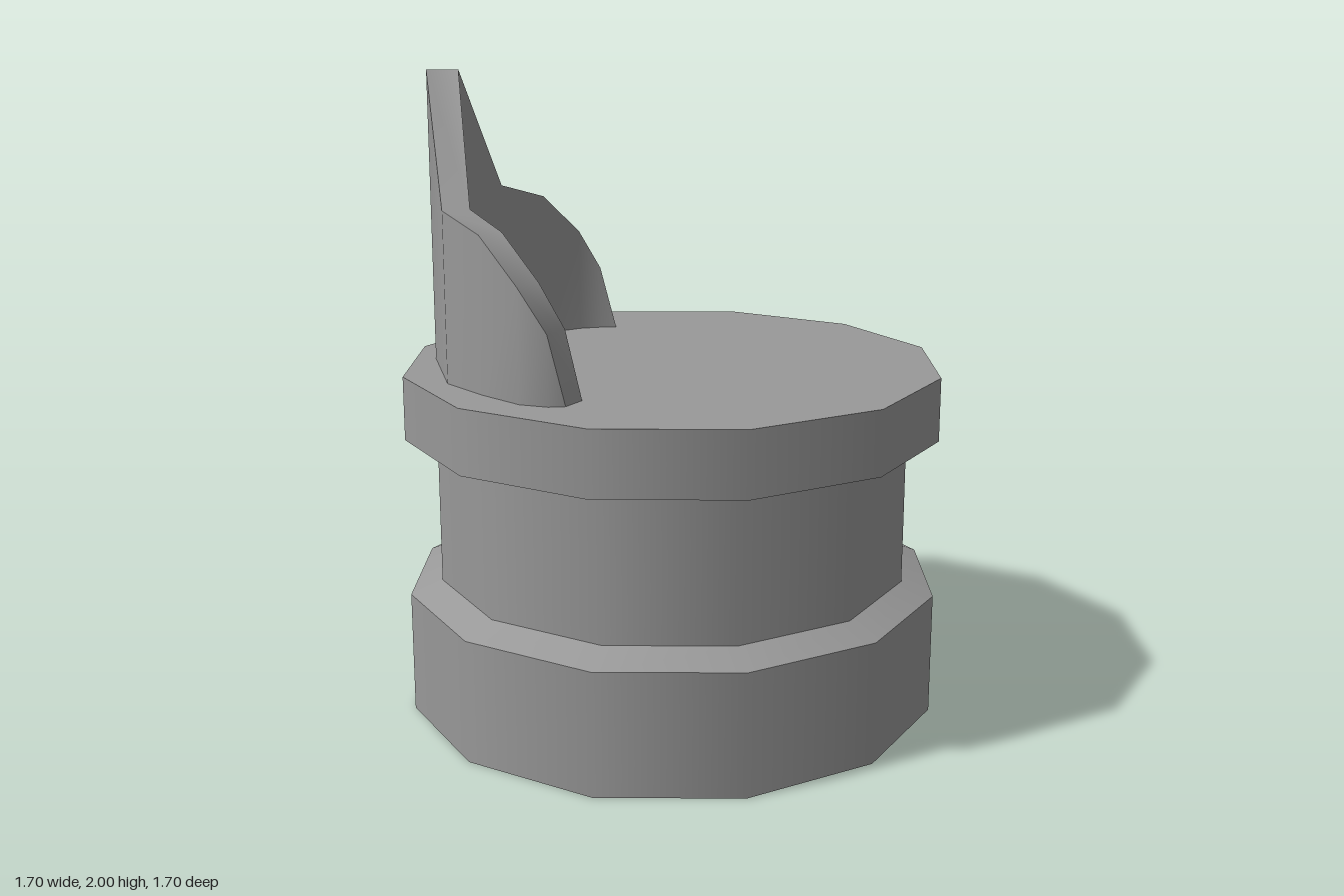
import * as THREE from 'three';
import { toCreasedNormals } from 'three/addons/utils/BufferGeometryUtils.js';

const SIDES = 12;
const BASE = 1.09; // height of the deck

export function createModel() {
  const group = new THREE.Group();
  const material = new THREE.MeshStandardMaterial({ color: 0x999999, side: THREE.DoubleSide });

  const add = (name, geometry) => {
    const mesh = new THREE.Mesh(geometry, material);
    mesh.name = name;
    group.add(mesh);
  };

  // Open twelve-sided shells, stacked from the ground up
  const band = (name, rBottom, yBottom, rTop, yTop) => {
    const shell = new THREE.CylinderGeometry(rTop, rBottom, yTop - yBottom, SIDES, 1, true);
    add(name, shell.translate(0, (yTop + yBottom) / 2, 0));
  };
  band('baseRing', 0.85, 0, 0.85, 0.385);
  band('shoulder', 0.85, 0.385, 0.75, 0.425);
  band('neck', 0.75, 0.425, 0.75, 0.885);
  band('topRing', 0.85, 0.89, 0.85, BASE);

  // Flat deck closing the top ring
  const deck = new THREE.CircleGeometry(0.85, SIDES);
  deck.rotateX(-Math.PI / 2).translate(0, BASE, 0);
  add('deck', deck);

  // Curved pointed wall: outer x, outer z, inner x, inner z, top height
  const sections = [
    [0.20, 0.62, 0.18, 0.54, BASE],
    [0.17, 0.66, 0.15, 0.575, 1.30],
    [0.09, 0.70, 0.08, 0.61, 1.43],
    [-0.07, 0.705, -0.07, 0.62, 1.56],
    [-0.26, 0.69, -0.23, 0.61, 1.61],
    [-0.56, 0.51, -0.49, 0.44, 2.00],
    [-0.71, 0.20, -0.63, 0.17, 1.61],
    [-0.70, 0.0, -0.62, 0.0, 1.56],
    [-0.685, -0.14, -0.595, -0.135, 1.43],
    [-0.65, -0.21, -0.56, -0.2, 1.30],
    [-0.61, -0.25, -0.525, -0.24, BASE],
  ];
  const positions = [];
  const index = [];
  sections.forEach(([ox, oz, ix, iz, top], i) => {
    positions.push(ox, BASE, oz, ox, top, oz, ix, top, iz, ix, BASE, iz);
    if (i === sections.length - 1) return;
    for (let k = 0; k < 4; k++) {
      const p = i * 4 + k;
      const q = i * 4 + ((k + 1) % 4);
      index.push(p + 4, p, q, p + 4, q, q + 4);
    }
  });
  const wall = new THREE.BufferGeometry();
  wall.setAttribute('position', new THREE.Float32BufferAttribute(positions, 3));
  wall.setIndex(index);
  add('pointedWall', toCreasedNormals(wall, 0.8));

  return group;
}
